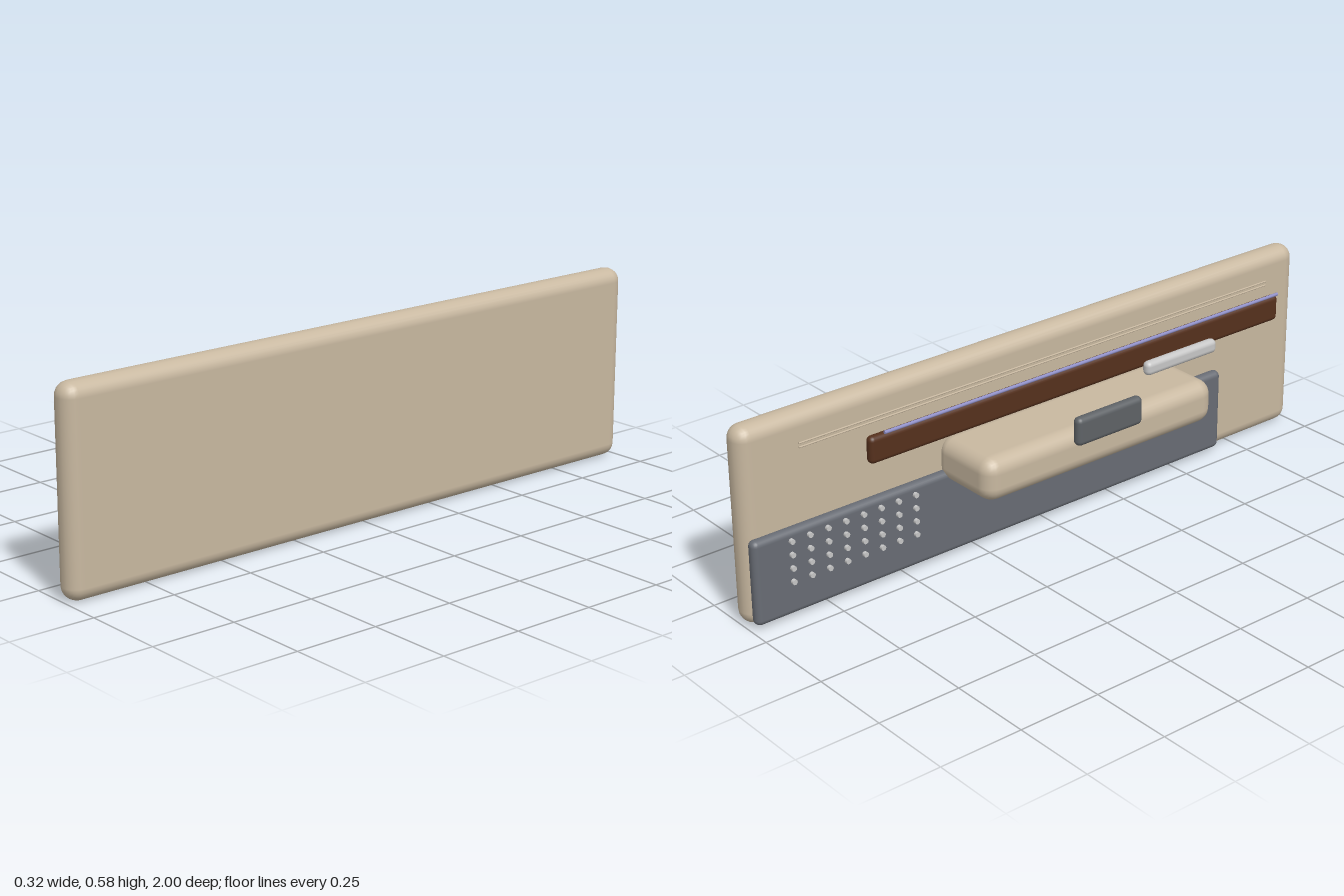
import * as THREE from 'three';
import { RoundedBoxGeometry } from 'three/addons/geometries/RoundedBoxGeometry.js';

export function createModel() {
  const group = new THREE.Group();
  group.name = 'doorTrimPanel';

  const paint = (name, color) => {
    const m = new THREE.MeshStandardMaterial({ color });
    m.name = name;
    return m;
  };
  const beige = paint('beige', 0xc8b8a0);
  const grey = paint('speakerGrey', 0x686c74);
  const darkGrey = paint('switchGrey', 0x5e6266);
  const wood = paint('woodBrown', 0x55301c);
  const metal = paint('metal', 0xc6c6c6);
  const blue = paint('lightStripBlue', 0x9090c8);

  const add = (name, geometry, material, x, y, z) => {
    const mesh = new THREE.Mesh(geometry, material);
    mesh.name = name;
    mesh.position.set(x, y, z);
    group.add(mesh);
    return mesh;
  };

  // Rounded block given by its extents on each axis
  const block = (name, material, [x0, x1], [y0, y1], [z0, z1], radius) =>
    add(name, new RoundedBoxGeometry(x1 - x0, y1 - y0, z1 - z0, 3, radius), material,
      (x0 + x1) / 2, (y0 + y1) / 2, (z0 + z1) / 2);

  // Thin round bar running along z
  const rod = (name, material, radius, x, y, z0, z1) =>
    add(name, new THREE.CylinderGeometry(radius, radius, z1 - z0, 10).rotateX(Math.PI / 2),
      material, x, y, (z0 + z1) / 2);

  // Main panel and the parts on its inner side
  block('doorPanel', beige, [0.075, 0.157], [0, 0.583], [-1, 1], 0.04);
  block('armrest', beige, [-0.137, 0.1], [0.233, 0.365], [-0.36, 0.475], 0.045);
  block('lowerPocketPanel', grey, [0.05, 0.086], [0.014, 0.267], [-0.99, 0.68], 0.017);
  block('woodTrim', wood, [0.045, 0.075], [0.372, 0.453], [-0.61, 0.905], 0.0145);
  block('switchPad', darkGrey, [-0.16, -0.128], [0.326, 0.412], [-0.06, 0.178], 0.0155);
  block('pullHandle', metal, [-0.064, -0.033], [0.404, 0.447], [0.28, 0.55], 0.015);

  // Light strip above the wood and a pair of stitch lines
  rod('lightStrip', blue, 0.005, 0.037, 0.463, -0.57, 0.89);
  for (const y of [0.505, 0.517]) rod('stitchLine', beige, 0.0025, 0.039, y, -0.84, 0.84);

  // Grid of speaker studs
  const stud = new THREE.CylinderGeometry(0.0078, 0.0078, 0.02, 10).rotateZ(Math.PI / 2);
  for (let row = 0; row < 4; row++) {
    for (let col = 0; col < 8; col++) {
      add('speakerStud', stud, metal, 0.05, 0.116 + row * 0.0405, -0.873 + col * 0.058);
    }
  }

  return group;
}
